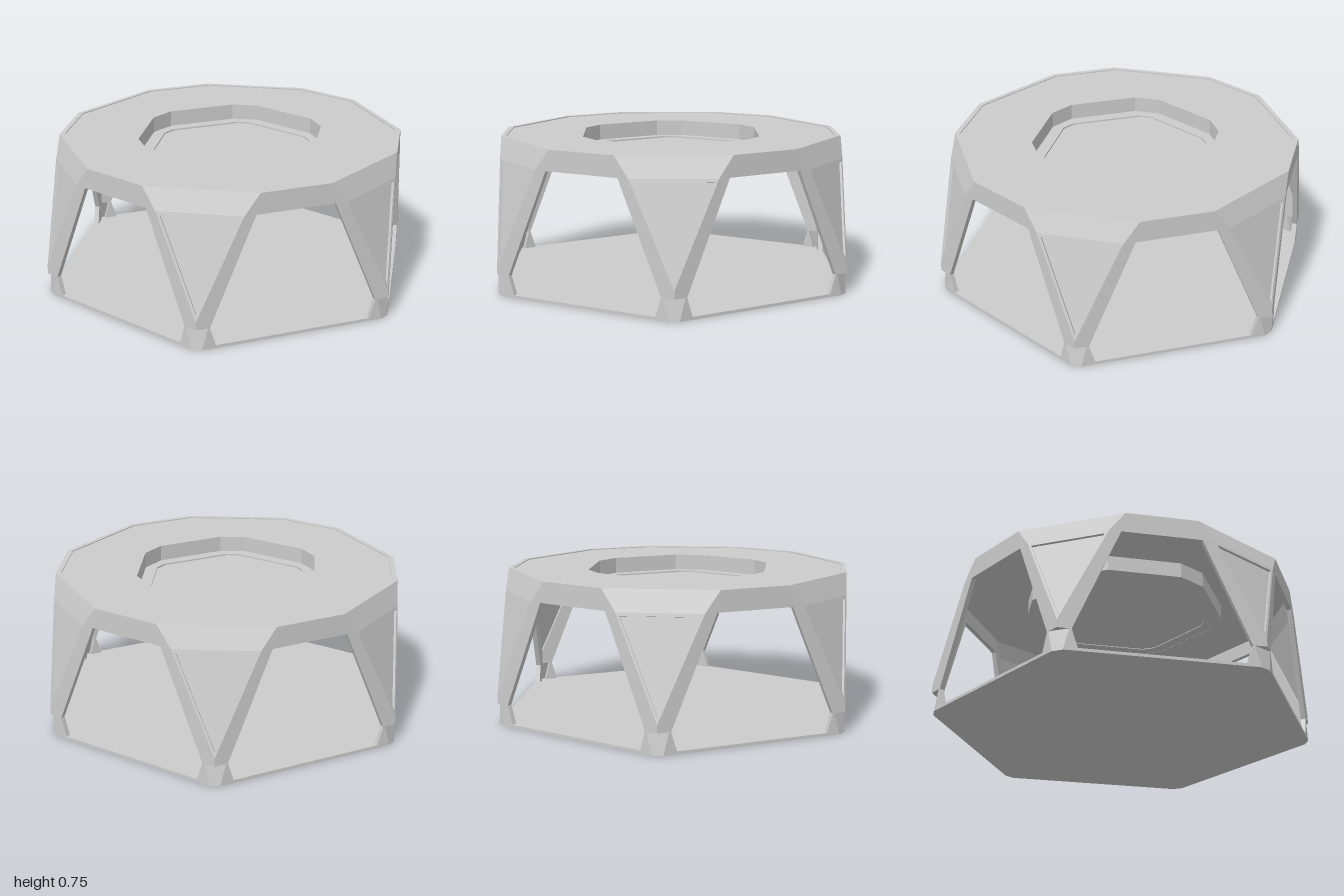
import * as THREE from 'three';

const material = new THREE.MeshStandardMaterial({ color: 0xcccccc, flatShading: true, side: THREE.DoubleSide });
const APOTHEM = Math.sqrt(3) / 2;

// Hexagon of circumradius r whose corners are cut off at distance c
function cutHexPoints(r, c) {
  const h = (r - c) * Math.sqrt(3);
  const pts = [];
  for (let i = 0; i < 6; i++) {
    for (const s of [-1, 1]) {
      pts.push(new THREE.Vector2(c, s * h).rotateAround(new THREE.Vector2(), i * Math.PI / 3));
    }
  }
  return pts;
}

// Horizontal plate from y0 to y1, with an optional opening
function plate(name, outer, y0, y1, hole) {
  const shape = new THREE.Shape(cutHexPoints(...outer));
  if (hole) shape.holes.push(new THREE.Path(cutHexPoints(...hole)));
  const geo = new THREE.ExtrudeGeometry(shape, { depth: y1 - y0, bevelEnabled: false });
  geo.rotateX(-Math.PI / 2).translate(0, y0, 0);
  const mesh = new THREE.Mesh(geo, material);
  mesh.name = name;
  return mesh;
}

// Closed outline from its right half, mirrored across x = 0
function mirrored(half) {
  const left = half.map(([x, y]) => [-x, y]).reverse();
  return [...half, ...left].map(([x, y]) => new THREE.Vector2(x, y));
}

// Upright wall with legs, top band, sill and a trapezoid window
function sideFrameGeometry() {
  const shape = new THREE.Shape(mirrored([
    [0.47, 0], [0.44, 0.11], [0.5, 0.11], [0.5, 0.15], [0.26, 0.65], [0.18, 0.755],
  ]));
  shape.holes.push(new THREE.Path(mirrored([[0.4, 0.015], [0.43, 0.11], [0.2, 0.65]])));
  const geo = new THREE.ExtrudeGeometry(shape, { depth: 0.025, bevelEnabled: false });
  return geo.translate(0, 0, APOTHEM - 0.025);
}

// Flat faces, each a fan of corners
function facesGeometry(faces) {
  const pos = [];
  for (const f of faces) {
    for (let i = 1; i < f.length - 1; i++) {
      for (const p of [f[0], f[i], f[i + 1]]) pos.push(p.x, p.y, p.z);
    }
  }
  const geo = new THREE.BufferGeometry();
  geo.setAttribute('position', new THREE.Float32BufferAttribute(pos, 3));
  geo.computeVertexNormals();
  return geo;
}

const v = (x, y, z) => new THREE.Vector3(x, y, z);

// Sloped corner: top bevel and a sunken triangular panel
function cornerGeometry() {
  const tri = [v(0.88, 0.65, 0.208), v(1, 0.15, 0), v(0.88, 0.65, -0.208)];
  const centre = v(0, 0, 0);
  tri.forEach(p => centre.addScaledVector(p, 1 / 3));
  const rim = tri.map(p => p.clone().lerp(centre, 0.1));
  const inward = v(-0.972, -0.233, 0).multiplyScalar(0.012);
  const sunk = rim.map(p => p.clone().add(inward));
  const faces = [
    [v(0.84, 0.755, 0.277), tri[0], tri[2], v(0.84, 0.755, -0.277)],
    sunk,
  ];
  for (let i = 0; i < 3; i++) {
    const j = (i + 1) % 3;
    faces.push([tri[i], tri[j], rim[j], rim[i]], [rim[i], rim[j], sunk[j], sunk[i]]);
  }
  return facesGeometry(faces);
}

// Foot: cut-off corner with a small ledge above it
function footGeometry() {
  const a = v(0.97, 0.11, 0.052), b = v(0.97, 0.11, -0.052);
  return facesGeometry([
    [a, v(0.985, 0, 0.026), v(0.985, 0, -0.026), b],
    [a, b, v(1, 0.11, 0)],
  ]);
}

export function createModel() {
  const model = new THREE.Group();
  model.name = 'hexagonalPavilion';

  // Walls, corners and feet around the six sides
  const parts = { sideFrame: sideFrameGeometry(), cornerPanel: cornerGeometry(), foot: footGeometry() };
  for (const [name, geo] of Object.entries(parts)) {
    for (let i = 0; i < 6; i++) {
      const mesh = new THREE.Mesh(geo, material);
      mesh.name = name + (i + 1);
      mesh.rotation.y = i * Math.PI / 3;
      model.add(mesh);
    }
  }

  model.add(
    plate('floor', [0.997, 0.983], 0, 0.015),
    // Roof with a slim raised rim
    plate('roofRim', [1, 0.84], 0.73, 0.755, [0.97, 0.815]),
    plate('roof', [0.975, 0.82], 0.73, 0.75, [0.52, 0.48]),
    // Sunken well hanging below the roof
    plate('wellWall', [0.56, 0.515], 0.65, 0.749, [0.52, 0.48]),
    plate('wellLedge', [0.53, 0.49], 0.651, 0.668, [0.45, 0.43]),
    plate('wellPanel', [0.46, 0.44], 0.655, 0.66),
  );
  return model;
}
